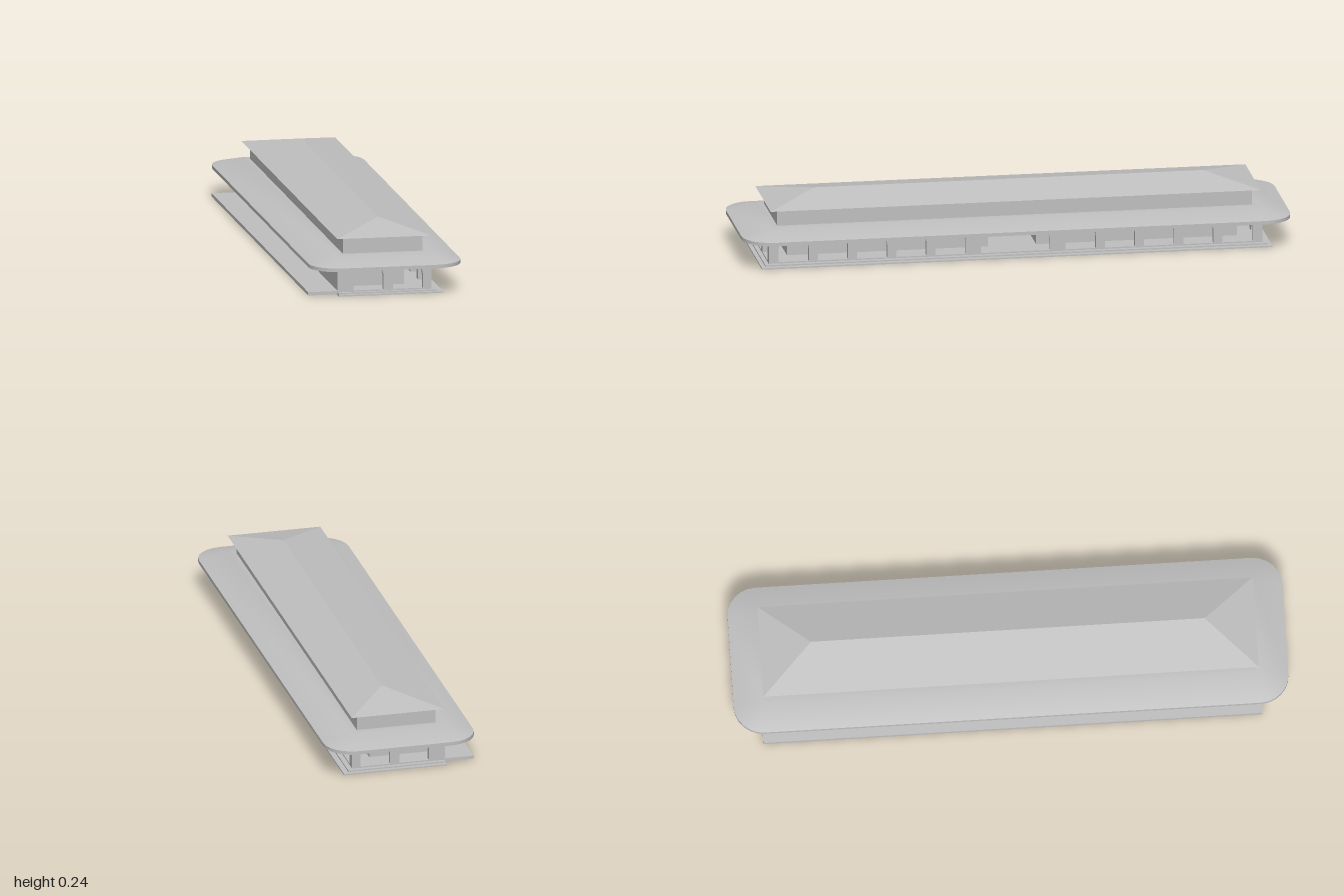
import * as THREE from 'three';
import { toCreasedNormals } from 'three/addons/utils/BufferGeometryUtils.js';

const FLOOR = 0.015, EAVE = 0.105;
const BACK = -0.172, FRONT = 0.172, END = 0.9; // building footprint
const ROOM = { x0: -0.172, x1: 0.088, z0: 0.088, z1: 0.82 };

const rect = (x0, x1, y0, y1, Kind = THREE.Shape) =>
  new Kind([[x0, y0], [x1, y0], [x1, y1], [x0, y1]].map(([x, y]) => new THREE.Vector2(x, y)));

// Shape drawn in plan (x, z), extruded downward from height top
function planSlab(shape, top, depth) {
  const g = new THREE.ExtrudeGeometry(shape, { depth, bevelEnabled: false });
  return g.rotateX(Math.PI / 2).translate(0, top, 0);
}

// Plan shape with the two room openings cut out, shrunk by inset
function withRoomHoles(shape, inset) {
  for (const s of [-1, 1]) {
    const za = s * (ROOM.z0 + inset), zb = s * (ROOM.z1 - inset);
    shape.holes.push(rect(ROOM.x0 + inset, ROOM.x1 - inset, Math.min(za, zb), Math.max(za, zb), THREE.Path));
  }
  return shape;
}

// Upright wall with arched openings [centre, half width, spring height, rise]
function arcade(halfLength, arches, thickness) {
  const top = 0.122, s = new THREE.Shape();
  s.moveTo(-halfLength, FLOOR);
  for (const [c, w, spring, rise] of arches) {
    s.lineTo(c - w, FLOOR);
    s.lineTo(c - w, spring);
    s.absellipse(c, spring, w, rise, Math.PI, 0, true);
    s.lineTo(c + w, FLOOR);
  }
  s.lineTo(halfLength, FLOOR);
  s.lineTo(halfLength, top);
  s.lineTo(-halfLength, top);
  return new THREE.ExtrudeGeometry(s, { depth: thickness, bevelEnabled: false, curveSegments: 16 });
}

function triangles(points) {
  const g = new THREE.BufferGeometry().setFromPoints(points);
  g.computeVertexNormals();
  return g;
}

// Rounded rectangle in plan: four corner arcs about the corners (cx, cz)
function outline(cx, cz, radius, y) {
  const pts = [], n = 6;
  const corners = [[1, 1], [-1, 1], [-1, -1], [1, -1]];
  corners.forEach(([sx, sz], q) => {
    for (let i = 0; i <= n; i++) {
      const a = (q + i / n) * Math.PI / 2;
      pts.push(new THREE.Vector3(sx * cx + radius * Math.cos(a), y, sz * cz + radius * Math.sin(a)));
    }
  });
  return pts;
}

function loft(rings) {
  const tris = [];
  const add = (a, b, c) => {
    if (new THREE.Triangle(a, b, c).getArea() > 1e-9) tris.push(a, b, c);
  };
  for (let r = 0; r + 1 < rings.length; r++) {
    const lo = rings[r], hi = rings[r + 1];
    lo.forEach((p, i) => {
      const j = (i + 1) % lo.length;
      add(p, hi[i], lo[j]);
      add(lo[j], hi[i], hi[j]);
    });
  }
  return toCreasedNormals(triangles(tris), 0.5);
}

export function createModel() {
  const group = new THREE.Group();
  const stone = new THREE.MeshStandardMaterial({ color: 0xbfbfbf, side: THREE.DoubleSide });
  stone.name = 'grey stone';
  const add = (name, geometry) => {
    const m = new THREE.Mesh(geometry, stone);
    m.name = name;
    group.add(m);
    return m;
  };

  // Three shallow steps, flush along the back
  [[0.21, 0.93, 0.005], [0.19, 0.915, 0.01], [FRONT, END, FLOOR]].forEach(([x, z, top], i) => {
    add('step' + (i + 1), planSlab(withRoomHoles(rect(BACK, x, -z, z), 0.003), top, 0.005));
  });
  add('backPlatform', planSlab(rect(-0.28, BACK, -END, END), FLOOR, 0.012));

  // Long arcade with a wide central entrance
  const t = 0.02;
  const small = [0, 1, 2, 3, 4].map(i => 0.237 + i * 0.143);
  const arch = c => [c, 0.055, 0.06, 0.055];
  const sideArches = [...small.map(c => -c).reverse().map(arch), [0, 0.126, 0.05, 0.068], ...small.map(arch)];
  const side = add('sideArcade', arcade(END, sideArches, t));
  side.rotation.y = Math.PI / 2;
  side.position.x = FRONT - t;

  // End walls with two arches each
  for (const s of [-1, 1]) {
    const end = add(s > 0 ? 'frontArcade' : 'rearArcade', arcade(FRONT, [arch(-0.058), arch(0.086)], t));
    end.position.z = s > 0 ? END - t : -END;

    // Room walls and the back wall continuing to the end
    const z = [s * ROOM.z0, s * ROOM.z1].sort((a, b) => a - b);
    const room = rect(ROOM.x0, ROOM.x1, z[0], z[1]);
    room.holes.push(rect(ROOM.x0 + 0.003, ROOM.x1 - 0.003, z[0] + 0.003, z[1] - 0.003, THREE.Path));
    add('roomWalls', planSlab(room, EAVE, EAVE - FLOOR));
    const w = [s * ROOM.z1, s * END].sort((a, b) => a - b);
    add('backWallEnd', planSlab(rect(BACK, BACK + 0.003, w[0], w[1]), EAVE, EAVE - FLOOR));
  }

  // Lower roof: rounded skirt with fascia, and its soffit
  const rim = outline(0.172, 0.894, 0.106, EAVE);
  add('lowerRoof', loft([rim, outline(0.172, 0.894, 0.106, 0.118),
    outline(0.172, 0.894, 0, 0.144), outline(0.146, 0.865, 0, 0.144)]));
  const soffit = withRoomHoles(new THREE.Shape(rim.map(p => new THREE.Vector2(p.x, p.z))), 0.03);
  add('soffit', new THREE.ShapeGeometry(soffit).rotateX(Math.PI / 2).translate(0, EAVE, 0));

  // Upper storey
  add('upperWalls', loft([outline(0.146, 0.865, 0, 0.144), outline(0.146, 0.865, 0, 0.204)]));

  // Hipped upper roof with a slightly offset ridge
  const v = (x, y, z) => new THREE.Vector3(x, y, z);
  const ex = 0.172, ez = 0.893, ey = 0.204;
  const A = v(-ex, ey, -ez), B = v(ex, ey, -ez), C = v(ex, ey, ez), D = v(-ex, ey, ez);
  const R0 = v(0.013, 0.243, -0.71), R1 = v(0.013, 0.243, 0.71);
  add('upperRoof', triangles([B, R0, R1, B, R1, C, D, R1, R0, D, R0, A,
    C, R1, D, A, R0, B, A, B, C, A, C, D]));

  return group;
}
